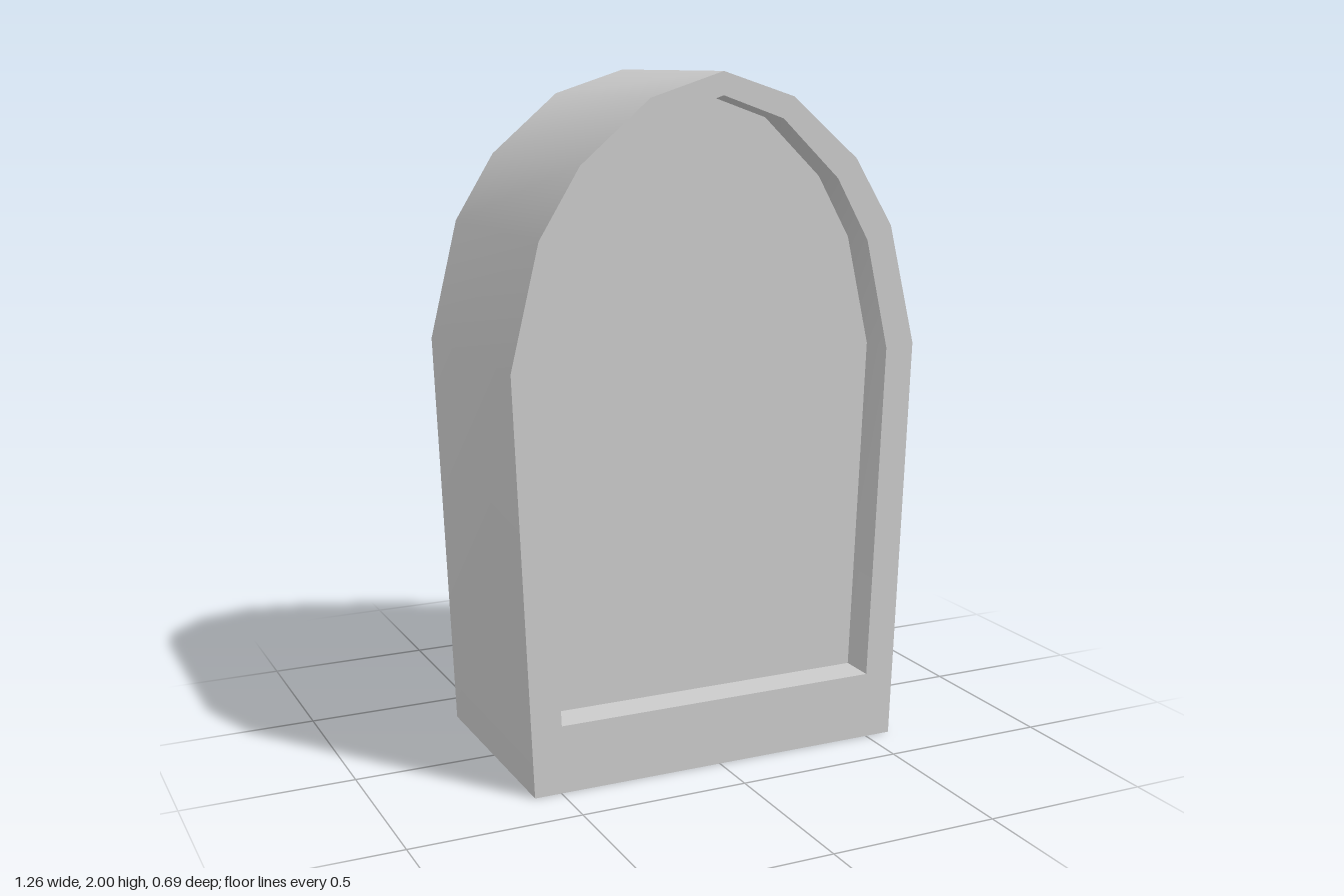
import * as THREE from 'three';
import { toCreasedNormals } from 'three/addons/utils/BufferGeometryUtils.js';

const FRONT = 0.343, BACK = -0.343, PANEL = 0.234;

// Half profiles from the bottom corner up to the apex
const OUTER = [[0.58, 0], [0.63, 1.21], [0.545, 1.56], [0.425, 1.755], [0.22, 1.93], [0, 2]];
const INNER = [[0.497, 0.2], [0.54, 1.2], [0.467, 1.52], [0.365, 1.7], [0.187, 1.87], [0, 1.935]];

// Mirror a half profile into a full counter-clockwise outline
function outline(half) {
  const mirrored = half.slice(0, -1).reverse().map(([x, y]) => [-x, y]);
  return [...half, ...mirrored].map(([x, y]) => new THREE.Vector2(x, y));
}

// Open band following the outline from zA to zB; faces outward when zA > zB
function band(points, zA, zB) {
  const positions = [];
  points.forEach((a, i) => {
    const b = points[(i + 1) % points.length];
    positions.push(a.x, a.y, zA, a.x, a.y, zB, b.x, b.y, zB);
    positions.push(a.x, a.y, zA, b.x, b.y, zB, b.x, b.y, zA);
  });
  const geometry = new THREE.BufferGeometry();
  geometry.setAttribute('position', new THREE.Float32BufferAttribute(positions, 3));
  return toCreasedNormals(geometry, THREE.MathUtils.degToRad(30));
}

export function createModel() {
  const group = new THREE.Group();
  group.name = 'archedNiche';
  const material = new THREE.MeshStandardMaterial({ color: 0xcccccc, side: THREE.DoubleSide });
  const outer = outline(OUTER), inner = outline(INNER);

  function add(name, geometry, z = 0) {
    const mesh = new THREE.Mesh(geometry, material);
    mesh.name = name;
    mesh.position.z = z;
    group.add(mesh);
  }

  // Thin outer shell with floor, open at the back
  add('outerShell', band(outer, FRONT, BACK));

  // Flat frame around the front opening
  const frame = new THREE.Shape(outer);
  frame.holes.push(new THREE.Path(inner));
  add('frontFrame', new THREE.ShapeGeometry(frame), FRONT);

  // Shallow recess and the panel closing it
  add('recessWalls', band(inner, PANEL, FRONT));
  add('recessedPanel', new THREE.ShapeGeometry(new THREE.Shape(inner)), PANEL);

  return group;
}
